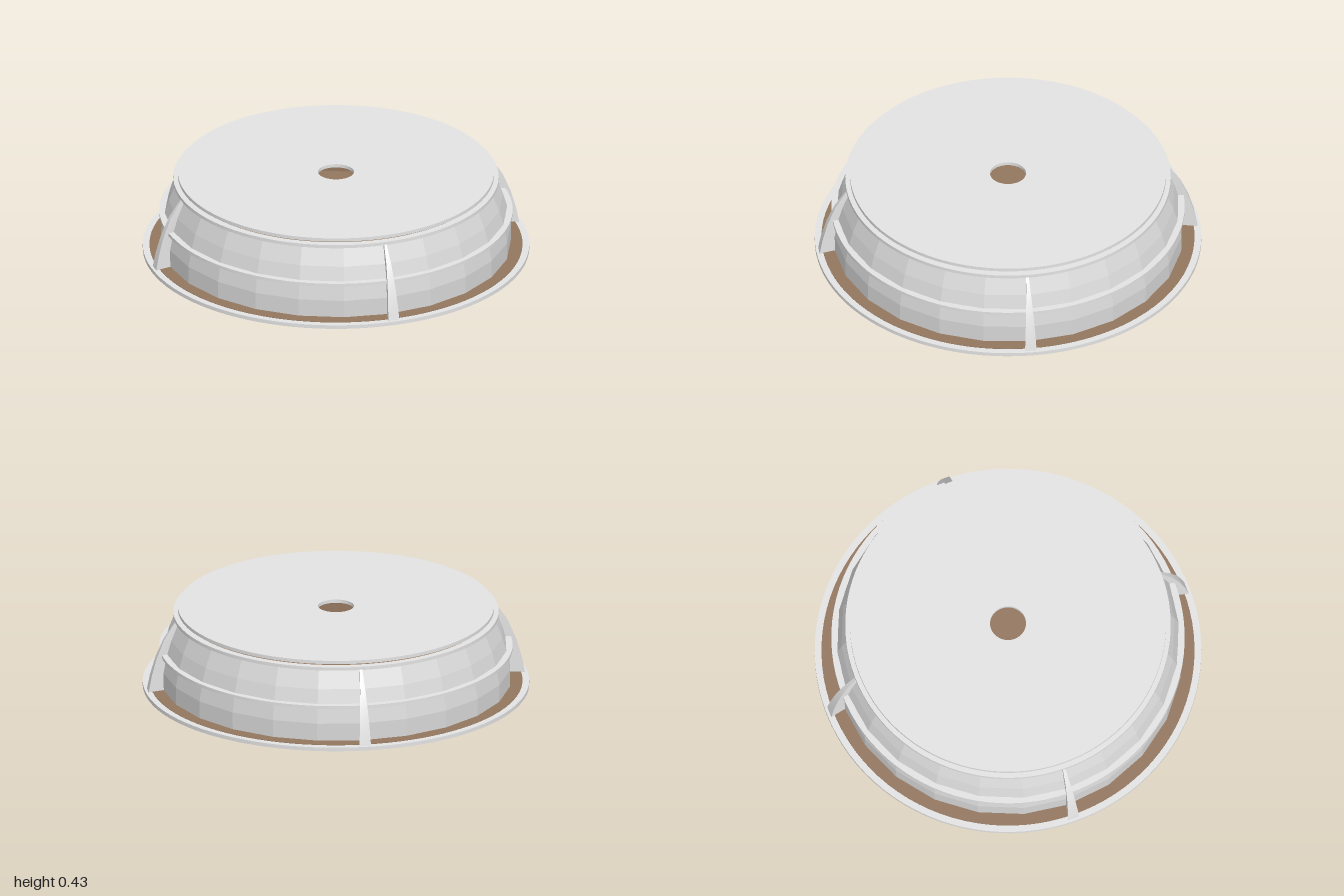
import * as THREE from 'three';
import { toCreasedNormals } from 'three/addons/utils/BufferGeometryUtils.js';

function flat(name, color) {
  const material = new THREE.MeshStandardMaterial({ color });
  material.name = name;
  return material;
}
const grey = flat('pale grey', 0xe3e3e3);
const panelGrey = flat('panel grey', 0xd8d8d8);
const brown = flat('brown', 0x93775f);
const tan = flat('tan', 0xe0b48f);

// Dome wall from bottom to top, as [radius, height]
const wall = [[0.905, 0.018], [0.906, 0.115], [0.89, 0.205], [0.865, 0.29], [0.825, 0.388]];
const lining = wall.map(([r, y]) => [r - 0.012, y]).reverse();

function lathe(name, points, material, segments = 96) {
  const profile = points.map(([r, y]) => new THREE.Vector2(r, y));
  const geometry = toCreasedNormals(new THREE.LatheGeometry(profile, segments), segments > 24 ? 0.5 : 0.05);
  const mesh = new THREE.Mesh(geometry, material);
  mesh.name = name;
  return mesh;
}

// Solid ring of rectangular section
function ring(name, inner, outer, y0, y1, material) {
  return lathe(name, [[inner, y0], [outer, y0], [outer, y1], [inner, y1], [inner, y0]], material);
}

// Buttress from stacked sections: [height, inner radius, outer radius, outer half width]
function buttressGeometry() {
  const sections = [
    [0.02, 0.88, 0.985, 0.03], [0.1, 0.88, 0.97, 0.026], [0.2, 0.87, 0.942, 0.02],
    [0.3, 0.84, 0.9, 0.013], [0.388, 0.815, 0.842, 0.007],
  ];
  const positions = [];
  const index = [];
  for (const [y, inner, outer, w] of sections) {
    const v = 0.007;
    positions.push(-v, y, inner, v, y, inner, w, y, outer, -w, y, outer);
  }
  for (let i = 0; i < sections.length - 1; i++) {
    for (let j = 0; j < 4; j++) {
      const a = i * 4 + j, b = i * 4 + (j + 1) % 4;
      index.push(a, a + 4, b, b, a + 4, b + 4);
    }
  }
  const top = (sections.length - 1) * 4;
  index.push(0, 1, 2, 0, 2, 3, top, top + 2, top + 1, top, top + 3, top + 2);
  const geometry = new THREE.BufferGeometry();
  geometry.setAttribute('position', new THREE.Float32BufferAttribute(positions, 3));
  geometry.setIndex(index);
  return toCreasedNormals(geometry, 0.5);
}

export function createModel() {
  const model = new THREE.Group();
  model.name = 'domedPavilion';

  // Base ring, the track running up to the wall, the recessed floor and its bottom plate
  model.add(ring('baseRing', 0.87, 1, 0, 0.02, grey));
  model.add(ring('baseTrack', 0.86, 0.965, 0.016, 0.022, brown));
  model.add(lathe('floor', [[0, 0.008], [0.72, 0.008], [0.872, 0.016], [0.872, 0.021], [0, 0.021]], brown));
  model.add(lathe('bottomPlate', [[0, 0.005], [0.72, 0.005], [0.72, 0.01]], tan));

  // Faceted panel wall, its inner lining and the middle band
  model.add(lathe('panelWall', wall, panelGrey, 24));
  model.add(lathe('wallLining', lining, brown, 24));
  model.add(ring('middleBand', 0.88, 0.914, 0.2, 0.217, grey));

  // Roof rim and the raised roof plate with a round opening
  model.add(ring('roofRim', 0.805, 0.842, 0.386, 0.404, grey));
  model.add(ring('roofPlate', 0.093, 0.818, 0.413, 0.431, grey));

  // Four buttresses
  const geometry = buttressGeometry();
  for (let i = 0; i < 4; i++) {
    const buttress = new THREE.Mesh(geometry, grey);
    buttress.name = 'buttress';
    buttress.rotation.y = i * Math.PI / 2;
    model.add(buttress);
  }
  return model;
}
